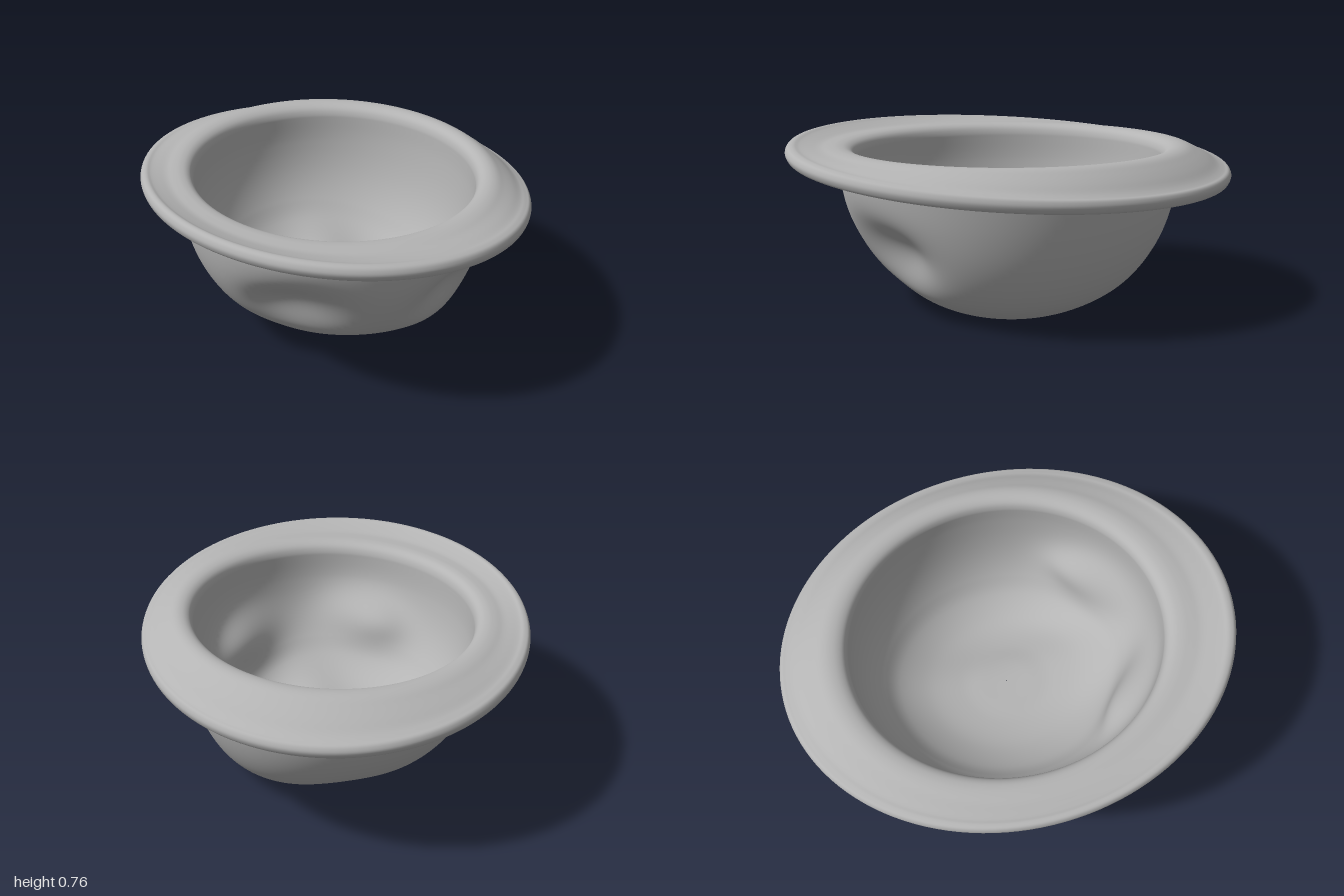
import * as THREE from 'three';

// Smooth skin swept around the y axis: point(angle, v) with v from 0 to 1
function sweep(point, rings, material, name) {
  const sides = 128, pos = [], idx = [];
  for (let j = 0; j <= rings; j++) {
    for (let i = 0; i < sides; i++) {
      pos.push(...point((i / sides) * Math.PI * 2, j / rings));
      if (j === rings) continue;
      const a = j * sides + i, b = j * sides + (i + 1) % sides;
      idx.push(a, b, a + sides, b, b + sides, a + sides);
    }
  }
  const geo = new THREE.BufferGeometry();
  geo.setAttribute('position', new THREE.Float32BufferAttribute(pos, 3));
  geo.setIndex(idx);
  geo.computeVertexNormals();
  const mesh = new THREE.Mesh(geo, material);
  mesh.name = name;
  return mesh;
}

const curve = (points) => new THREE.CatmullRomCurve3(
  points.map((p) => new THREE.Vector3(...p)), false, 'centripetal');
const bell = (t) => Math.exp(-t * t);

// Crown profile from opening to tip: relative radius, height
const crownProfile = curve([
  [1, 0.67, 0], [0.992, 0.57, 0], [0.965, 0.44, 0], [0.925, 0.335, 0], [0.87, 0.245, 0],
  [0.8, 0.168, 0], [0.72, 0.112, 0], [0.54, 0.045, 0], [0.32, 0.016, 0],
  [0.15, 0.015, 0], [0.003, 0.015, 0],
]);

// Pinched crown: sideways lean, centre crease and two front dents
function crownPoint(angle, v, rx, rz, lift) {
  const p = crownProfile.getPoint(v);
  let x = Math.cos(angle) * p.x * rx;
  let z = Math.sin(angle) * p.x * rz;
  let y = p.y;
  const low = Math.max(0, 1 - y / 0.55);
  y += low * (-0.09 * x / 0.69 + 0.07 * (z / 0.7) ** 2);
  y += 0.055 * low * bell((x - 0.05) / 0.17) * Math.exp(-((z / 0.55) ** 4));
  const front = THREE.MathUtils.smoothstep(z, 0.15, 0.55);
  for (const [cx, cy] of [[-0.31, 0.32], [0.38, 0.28]]) {
    const d = 0.1 * front * bell((x - cx) / 0.19) * bell((y - cy) / 0.14);
    z -= d;
    y += 0.3 * d;
  }
  return [x, y + lift * Math.min(1, low * 1.5), z];
}

// Brim section: outward fraction, blend from crest to rim height, offset
const brimProfile = curve([
  [0, 0, -0.07], [0.005, 0, -0.05], [0.04, 0, -0.025], [0.12, 0, -0.007], [0.24, 0, 0],
  [0.36, 0.04, 0], [0.5, 0.2, 0], [0.66, 0.5, 0.01], [0.8, 0.82, 0.022], [0.9, 1, 0.031],
  [0.97, 1, 0.022], [1, 1, 0], [0.97, 1, -0.024], [0.9, 1, -0.032],
  [0.65, 0.9, -0.032], [0.4, 0.75, -0.032], [0.2, 0.65, -0.03],
]);

function brimPoint(angle, v) {
  const p = brimProfile.getPoint(v);
  const c = Math.cos(angle), s = Math.sin(angle);
  const rim = 0.65 - 0.052 * c + 0.052 * s;
  return [
    c * (0.62 + 0.23 * p.x),
    THREE.MathUtils.lerp(0.72, rim, p.y) + p.z,
    s * (0.69 + 0.31 * p.x),
  ];
}

export function createModel() {
  const felt = new THREE.MeshStandardMaterial({ color: 0xb4b4b4 });
  felt.name = 'grey felt';
  const hat = new THREE.Group();
  hat.name = 'upturnedHat';
  hat.add(
    sweep((a, v) => crownPoint(a, v, 0.688, 0.765, 0), 72, felt, 'crown'),
    sweep((a, v) => crownPoint(a, 1 - v, 0.622, 0.692, 0.045), 72, felt, 'crownInside'),
    sweep(brimPoint, 64, felt, 'brim'),
  );
  return hat;
}
